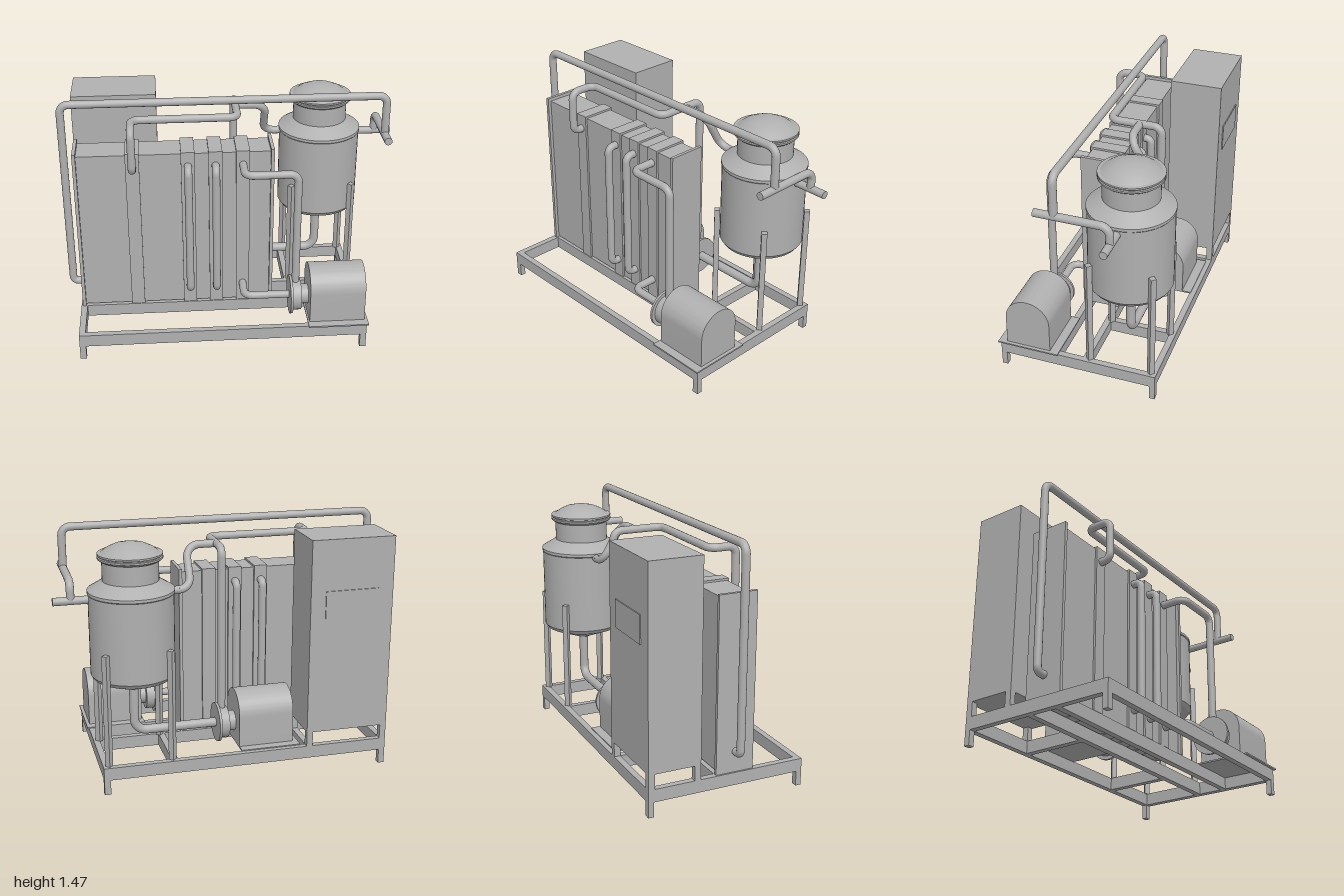
import * as THREE from 'three';
import { mergeGeometries, toCreasedNormals } from 'three/addons/utils/BufferGeometryUtils.js';

const steel = new THREE.MeshStandardMaterial({ color: 0xb0b0b0 });
steel.name = 'grey steel';

function add(parent, name, geometry) {
  const mesh = new THREE.Mesh(geometry, steel);
  mesh.name = name;
  parent.add(mesh);
  return mesh;
}

// Box given by its minimum and maximum on each axis
function box(parent, name, x0, x1, y0, y1, z0, z1) {
  const mesh = add(parent, name, new THREE.BoxGeometry(x1 - x0, y1 - y0, z1 - z0));
  mesh.position.set((x0 + x1) / 2, (y0 + y1) / 2, (z0 + z1) / 2);
  return mesh;
}

// Pipe through corner points, with rounded elbows and closed ends
function pipe(parent, name, points, radius = 0.023, bend = 0.05) {
  const p = points.map((c) => new THREE.Vector3(...c));
  const parts = [];
  const tube = (curve, n) => parts.push(new THREE.TubeGeometry(curve, n, radius, 16));
  const cap = (at, outward) => {
    const disc = new THREE.CircleGeometry(radius, 16);
    disc.applyQuaternion(new THREE.Quaternion().setFromUnitVectors(new THREE.Vector3(0, 0, 1), outward));
    parts.push(disc.translate(at.x, at.y, at.z));
  };
  const dir = (a, b) => b.clone().sub(a).normalize();
  let start = p[0];
  for (let i = 1; i < p.length - 1; i++) {
    const r = Math.min(bend, p[i].distanceTo(p[i - 1]) * 0.48, p[i].distanceTo(p[i + 1]) * 0.48);
    const a = p[i].clone().addScaledVector(dir(p[i], p[i - 1]), r);
    const b = p[i].clone().addScaledVector(dir(p[i], p[i + 1]), r);
    tube(new THREE.LineCurve3(start, a), 1);
    // Cubic handles approximating a quarter circle
    tube(new THREE.CubicBezierCurve3(a, a.clone().lerp(p[i], 0.55), b.clone().lerp(p[i], 0.55), b), 8);
    start = b;
  }
  const end = p[p.length - 1];
  tube(new THREE.LineCurve3(start, end), 1);
  cap(p[0], dir(p[1], p[0]));
  cap(end, dir(p[p.length - 2], end));
  return add(parent, name, mergeGeometries(parts));
}

// Arched motor with coupling, casing and flange; side is the x direction of the flange
function pump(parent, name, x, z, side) {
  const group = new THREE.Group();
  group.name = name;
  const w = 0.135, spring = 0.35, length = 0.33;
  const shape = new THREE.Shape();
  shape.moveTo(-w, 0.165);
  shape.lineTo(w, 0.165);
  shape.lineTo(w, spring);
  shape.absarc(0, spring, w, 0, Math.PI, false);
  shape.closePath();
  const body = new THREE.ExtrudeGeometry(shape, { depth: length, bevelEnabled: false, curveSegments: 24 });
  body.translate(0, 0, -length / 2).rotateY(Math.PI / 2);
  add(group, 'motor', toCreasedNormals(body, 0.5));
  [['coupling', 0.06, 0.16, 0.215], ['casing', 0.095, 0.21, 0.265], ['flange', 0.117, 0.262, 0.277]]
    .forEach(([part, r, a, b]) => {
      const disc = add(group, part, new THREE.CylinderGeometry(r, r, b - a, 32));
      disc.rotation.z = Math.PI / 2;
      disc.position.set(side * (a + b) / 2, 0.285, 0);
    });
  group.position.set(x, 0, z);
  parent.add(group);
}

export function createModel() {
  const model = new THREE.Group();
  model.name = 'processSkid';

  // Base frame
  const frame = new THREE.Group();
  frame.name = 'baseFrame';
  model.add(frame);
  const y0 = 0.088, y1 = 0.163;
  for (const [a, b] of [[0.445, 0.482], [0.125, 0.162], [-0.062, -0.025], [-0.47, -0.433]]) {
    box(frame, 'longBeam', -0.93, 0.78, y0, y1, a, b);
  }
  for (const x of [-0.93, 0.743]) {
    box(frame, 'endBeam', x, x + 0.037, y0, y1, -0.469, 0.481);
    for (const z of [-0.47, 0.449]) box(frame, 'foot', x, x + 0.037, 0, y0, z, z + 0.033);
  }
  for (const x of [-0.468, 0.345]) box(frame, 'crossBeam', x, x + 0.037, y0, y1, -0.44, -0.04);
  box(frame, 'frontPumpPlate', 0.43, 0.79, 0.16, 0.169, 0.122, 0.497);
  box(frame, 'rearPumpPlate', -0.4, -0.04, 0.16, 0.169, -0.44, -0.055);

  // Plate heat exchanger
  const exchanger = new THREE.Group();
  exchanger.name = 'heatExchanger';
  model.add(exchanger);
  box(exchanger, 'platePack', -0.9, 0.225, 0.17, 1.165, -0.04, 0.148);
  for (const x of [-0.92, 0.222]) box(exchanger, 'endPlate', x, x + 0.02, 0.163, 1.185, -0.06, 0.168);
  for (const x of [-0.58, -0.26, -0.1, 0.06]) {
    box(exchanger, 'dividerPlate', x - 0.04, x + 0.04, 0.165, 1.177, -0.052, 0.16);
  }

  // Control cabinet
  const cabinet = new THREE.Group();
  cabinet.name = 'controlCabinet';
  model.add(cabinet);
  box(cabinet, 'cabinetBody', -0.93, -0.43, 0.25, 1.41, -0.47, -0.158);
  box(cabinet, 'displayPanel', -0.84, -0.52, 0.95, 1.11, -0.476, -0.469);
  for (const x of [-0.93, -0.467]) {
    for (const z of [-0.47, -0.195]) box(cabinet, 'cabinetLeg', x, x + 0.037, 0.1, 0.251, z, z + 0.037);
  }

  // Tank with conical base, neck and domed lid
  const tank = new THREE.Group();
  tank.name = 'tank';
  tank.position.set(0.56, 0, -0.25);
  model.add(tank);
  const profile = [[0, 0.55], [0.03, 0.55], [0.225, 0.63], [0.243, 0.655], [0.243, 1.125], [0.247, 1.13],
    [0.247, 1.147], [0.16, 1.2], [0.16, 1.31], [0.172, 1.315], [0.184, 1.325], [0.184, 1.335],
    [0.176, 1.338], [0.176, 1.342], [0.184, 1.345], [0.184, 1.355], [0.165, 1.357], [0.13, 1.382],
    [0.09, 1.4], [0.045, 1.41], [0, 1.413]].map(([r, y]) => new THREE.Vector2(r, y));
  add(tank, 'tankVessel', toCreasedNormals(new THREE.LatheGeometry(profile, 48), 0.45));
  for (let i = 0; i < 4; i++) {
    const angle = Math.PI / 4 + i * Math.PI / 2;
    const leg = add(tank, 'tankLeg', new THREE.BoxGeometry(0.032, 0.665, 0.032));
    leg.position.set(Math.cos(angle) * 0.261, 0.4925, Math.sin(angle) * 0.261);
    leg.rotation.y = angle;
  }

  // Pumps
  pump(model, 'frontPump', 0.605, 0.31, -1);
  pump(model, 'rearPump', -0.205, -0.25, 1);

  // Pipework
  const pipes = new THREE.Group();
  pipes.name = 'pipework';
  model.add(pipes);
  pipe(pipes, 'tankOutletPipe', [[0.56, 0.58, -0.25], [0.56, 0.285, -0.25], [0.07, 0.285, -0.25]], 0.027, 0.07);
  for (const x of [-0.26, -0.1]) {
    for (const [inner, outer] of [[0.14, 0.218], [-0.03, -0.093]]) {
      pipe(pipes, 'loopPipe', [[x, 1.09, inner], [x, 1.09, outer], [x, 0.285, outer], [x, 0.285, inner]]);
    }
  }
  pipe(pipes, 'pumpInletPipe', [[0.06, 0.285, 0.14], [0.06, 0.285, 0.308], [0.35, 0.285, 0.308]]);
  pipe(pipes, 'pumpRiserPipe',
    [[0.06, 1.09, 0.14], [0.06, 1.09, 0.308], [0.365, 1.09, 0.308], [0.365, 0.36, 0.308]]);
  pipe(pipes, 'crossoverPipe', [[-0.58, 1.09, 0.14], [-0.58, 1.09, 0.222], [-0.58, 1.345, 0.222],
    [-0.58, 1.345, 0.06], [0.035, 1.345, 0.06], [0.035, 1.345, -0.25], [0.035, 0.36, -0.25]]);
  pipe(pipes, 'tankReturnPipe', [[0.035, 1.345, -0.12], [0.215, 1.345, -0.12],
    [0.215, 1.12, -0.25], [0.36, 1.12, -0.25]], 0.023, 0.08);
  pipe(pipes, 'overheadPipe', [[-0.91, 0.285, 0.058], [-0.975, 0.285, 0.058], [-0.975, 1.45, 0.058],
    [0.9, 1.45, 0.058], [0.9, 1.21, 0.058]]);
  pipe(pipes, 'sidePipe', [[0.9, 1.21, 0.17], [0.9, 1.21, -0.25], [0.9, 1.1, -0.25]], 0.023, 0.08);
  pipe(pipes, 'tankNozzle', [[0.78, 1.1, -0.25], [1, 1.1, -0.25]]);

  return model;
}
